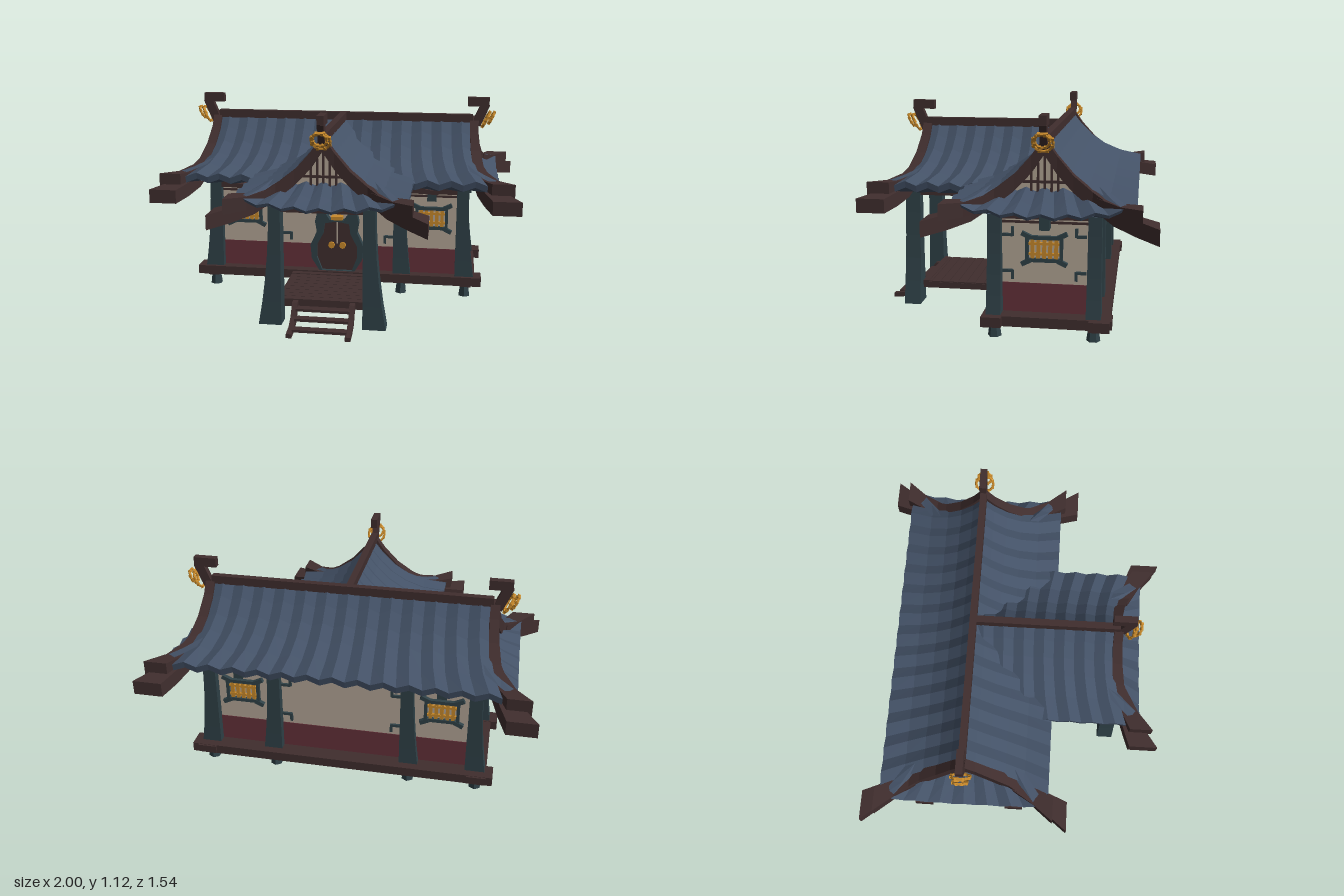
import * as THREE from 'three';

const mat = (name, color, side = THREE.FrontSide) => {
  const m = new THREE.MeshStandardMaterial({ color, flatShading: true, side });
  m.name = name;
  return m;
};
const RIDGE_Z = -0.235;

export function createModel() {
  const root = new THREE.Group();
  root.name = 'pavilion';
  const roof = mat('slate blue tile', 0x435166, THREE.DoubleSide), wood = mat('dark wood', 0x402e2e);
  const cream = mat('cream plaster', 0xb5a797), red = mat('dark red panel', 0x65313a);
  const teal = mat('teal timber', 0x2f4147), gold = mat('gold', 0xc98a2b);

  const add = (parent, name, geo, m, x = 0, y = 0, z = 0) => {
    const mesh = new THREE.Mesh(geo, m);
    mesh.name = name;
    mesh.position.set(x, y, z);
    parent.add(mesh);
    return mesh;
  };
  const box = (parent, name, m, w, h, d, x, y, z) => add(parent, name, new THREE.BoxGeometry(w, h, d), m, x, y, z);
  const group = (parent, name, x = 0, y = 0, z = 0, ry = 0) => {
    const g = new THREE.Group();
    g.name = name;
    g.position.set(x, y, z);
    g.rotation.y = ry;
    parent.add(g);
    return g;
  };
  // Surface through rows of [x, y, z] points
  const patch = (rows) => {
    const p = [];
    for (let i = 0; i < rows.length - 1; i++) for (let j = 0; j < rows[i].length - 1; j++) {
      const a = rows[i][j], b = rows[i][j + 1], c = rows[i + 1][j], d = rows[i + 1][j + 1];
      p.push(...a, ...b, ...c, ...b, ...d, ...c);
    }
    const g = new THREE.BufferGeometry();
    g.setAttribute('position', new THREE.Float32BufferAttribute(p, 3));
    g.computeVertexNormals();
    return g;
  };
  // Box-section beam through stations [sideways, out, top, bottom, half width]
  const beam = (stations, s) => {
    const rows = stations.map(([l, o, t, b, w]) => {
      const r = [[s * l, t, o - w], [s * l, t, o + w], [s * l, b, o + w], [s * l, b, o - w]];
      if (s < 0) r.reverse();
      return [...r, r[0]];
    });
    const cap = ([l, o, t, b]) => Array(5).fill([s * l, (t + b) / 2, o]);
    return patch([cap(stations[0]), ...rows, cap(stations.at(-1))]);
  };
  const plate = (pts, depth, hole) => {
    const shape = new THREE.Shape(pts.map((p) => new THREE.Vector2(...p)));
    if (hole) shape.holes.push(new THREE.Path(hole.map((p) => new THREE.Vector2(...p))));
    return new THREE.ExtrudeGeometry(shape, { depth, bevelEnabled: false });
  };

  // Corrugated roof slopes: curved profile [distance from ridge, height], then the soffit
  const profile = [[0, 1], [0.06, 0.925], [0.13, 0.855], [0.21, 0.8], [0.31, 0.755], [0.435, 0.725]];
  const slope = (n, start, end, s) => {
    const rows = [];
    for (let i = 0; i <= n; i++) {
      const at = (d, y) => {
        const f = (d / 0.435) ** 2, a = start(f), b = end(f);
        return [a + (b - a) * i / n, y, s * d];
      };
      const wave = i % 2 ? 0 : -0.024;
      rows.push([...profile.map(([d, y]) => at(d, y + wave)), at(0.43, 0.69 + wave), at(0.27, 0.64), at(0, 0.64)]);
    }
    return patch(rows);
  };
  const mainRoof = group(root, 'mainRoof', 0, 0, RIDGE_Z);
  const wingRoof = group(root, 'porchRoof', 0, 0, RIDGE_Z, -Math.PI / 2);
  const flare = (l) => (f) => l + 0.09 * f;
  for (const s of [-1, 1]) {
    add(mainRoof, 'mainRoofSlope', slope(26, (f) => -flare(0.735)(f), flare(0.735), s), roof);
    add(wingRoof, 'porchRoofSlope', slope(14, () => 0, flare(0.74), s), roof);
  }
  box(mainRoof, 'mainRidge', wood, 1.48, 0.045, 0.036, 0, 0.995, 0);
  box(wingRoof, 'porchRidge', wood, 0.76, 0.045, 0.036, 0.38, 0.995, 0);

  // Gable end: skirt roof, lattice, barge boards, corner beams, finial and rings
  const gableEnd = (x, z, ry) => {
    const g = group(root, 'gableEnd', x, 0, z, ry);
    const rows = [];
    for (let i = 0; i <= 14; i++) {
      const t = i / 7 - 1, w = i % 2 ? 0 : -0.02, lift = 0.045 * t * t;
      rows.push([[t * 0.3, 0.775 + w, -0.04], [t * 0.37, 0.715 + w + lift * 0.6, 0.05],
        [t * 0.435, 0.675 + w + lift, 0.135], [t * 0.43, 0.66 + w + lift, 0.13], [t * 0.28, 0.64, -0.04], [t * 0.28, 0.64, -0.12]]);
    }
    add(g, 'skirtRoof', patch(rows), roof);
    add(g, 'gablePanel', plate([[-0.17, 0.73], [0.17, 0.73], [0, 0.97]], 0.02), cream, 0, 0, -0.05);
    for (let i = -2; i <= 2; i++) {
      const h = 0.19 - Math.abs(i) * 0.045;
      box(g, 'gableLattice', wood, 0.011, h, 0.01, i * 0.032, 0.74 + h / 2, -0.026);
    }
    box(g, 'gableLatticeRail', wood, 0.22, 0.012, 0.012, 0, 0.795, -0.025);
    for (const s of [-1, 1]) {
      add(g, 'bargeBoard', beam([[0, -0.01, 1.01, 0.93, 0.024], [0.06, -0.01, 0.925, 0.84, 0.024],
        [0.14, 0, 0.835, 0.755, 0.026], [0.23, 0.015, 0.765, 0.685, 0.03], [0.33, 0.055, 0.705, 0.62, 0.04],
        [0.43, 0.105, 0.665, 0.59, 0.055], [0.535, 0.165, 0.645, 0.57, 0.075]], s), wood);
      add(g, 'upperCornerBeam', beam([[0.25, 0.025, 0.74, 0.67, 0.035], [0.36, 0.08, 0.715, 0.645, 0.045],
        [0.46, 0.145, 0.72, 0.64, 0.06]], s), wood);
    }
    box(g, 'finialCap', wood, 0.036, 0.05, 0.12, 0, 1.09, 0.01);
    box(g, 'finialStem', wood, 0.034, 0.13, 0.05, 0, 1.02, 0.025).rotation.x = 0.4;
    [[0.048, 0.99, 0.055], [0.036, 1.0, 0.085]].forEach(([r, y, out]) => {
      const ring = group(g, 'goldRing', 0, y, out);
      ring.rotation.x = 0.45;
      add(ring, 'ringBand', new THREE.TorusGeometry(r, 0.007, 5, 14), gold);
      for (let k = 0; k < 8; k++) {
        const a = k * Math.PI / 4 + 0.39;
        box(ring, 'ringStud', gold, 0.014, 0.014, 0.014, Math.cos(a) * r, Math.sin(a) * r, 0);
      }
    });
  };
  gableEnd(0, 0.53, 0);
  gableEnd(0.76, RIDGE_Z, Math.PI / 2);
  gableEnd(-0.76, RIDGE_Z, -Math.PI / 2);

  // Walls: red dado below cream plaster
  const body = group(root, 'body');
  box(body, 'plasterWalls', cream, 1.38, 0.36, 0.47, 0, 0.46, -0.23);
  box(body, 'redDado', red, 1.386, 0.15, 0.476, 0, 0.21, -0.23);
  box(body, 'wallRail', wood, 1.39, 0.012, 0.48, 0, 0.59, -0.23);
  box(body, 'wallTopBeam', wood, 1.44, 0.035, 0.54, 0, 0.627, -0.23);
  box(body, 'floorUnderside', red, 1.44, 0.035, 0.5, 0, 0.115, -0.24);

  // Base frame of crossing beams
  for (const z of [0.015, -0.505]) box(body, 'baseBeam', wood, 1.63, 0.05, 0.1, 0, 0.115, z);
  for (const x of [-0.73, 0.73]) {
    box(body, 'baseSideBeam', wood, 0.1, 0.042, 0.63, x, 0.117, -0.25);
    box(body, 'baseSideSleeper', wood, 0.06, 0.03, 0.58, x, 0.095, -0.24);
  }

  // Pillars flare outward toward the foot
  const pillar = (x, z, w, d, y0, y1, spread) => {
    const geo = new THREE.BoxGeometry(w, y1 - y0, d, 1, 5, 1), p = geo.attributes.position, s = Math.sign(x);
    for (let i = 0; i < p.count; i++) {
      const f = 0.5 - p.getY(i) / (y1 - y0);
      if (p.getX(i) * s > 0) p.setX(i, p.getX(i) + s * spread * f * f);
      p.setZ(i, p.getZ(i) * (1 + 0.12 * f * f));
    }
    geo.computeVertexNormals();
    add(body, 'pillar', geo, teal, x, (y0 + y1) / 2, z);
  };
  for (const s of [-1, 1]) {
    for (const z of [0.01, -0.475]) {
      pillar(s * 0.7, z, 0.065, 0.065, 0.13, 0.64, 0.04);
      pillar(s * 0.352, z, 0.065, 0.065, 0.13, 0.64, 0.035);
      for (const x of [0.725, 0.365]) {
        add(body, 'stiltFoot', new THREE.CylinderGeometry(0.024, 0.034, 0.075, 6), teal, s * x, 0.0575, z);
      }
      const out = z > 0 ? 0.03 : -0.03;
      box(body, 'eaveBracket', teal, 0.05, 0.05, 0.06, s * 0.53, 0.6, z + out);
      box(body, 'eaveBracketCap', wood, 0.07, 0.025, 0.09, s * 0.53, 0.63, z + out);
    }
    pillar(s * 0.24, 0.543, 0.06, 0.08, 0.02, 0.65, 0.06);
    box(body, 'sideEaveBracket', teal, 0.06, 0.075, 0.05, s * 0.72, 0.6, RIDGE_Z);
    box(body, 'porchSideBeam', wood, 0.05, 0.03, 0.56, s * 0.24, 0.635, 0.28);
  }
  box(body, 'porchFrontBeam', wood, 0.5, 0.03, 0.05, 0, 0.635, 0.54);

  // Latticed window facing local +z
  const windowAt = (x, y, z, ry) => {
    const g = group(body, 'window', x, y, z, ry);
    for (let i = -2; i <= 2; i++) box(g, 'windowBar', gold, 0.018, 0.125, 0.012, i * 0.029, 0, 0.008);
    for (const s of [-1, 1]) {
      box(g, 'windowCrossBar', gold, 0.15, 0.012, 0.014, 0, s * 0.026, 0.008);
      box(g, 'windowRail', teal, 0.15, 0.018, 0.02, 0, s * 0.056, 0.01);
      box(g, 'windowPost', teal, 0.016, 0.12, 0.02, s * 0.083, 0, 0.01);
      for (const t of [-1, 1]) {
        box(g, 'windowEar', teal, 0.05, 0.022, 0.022, s * 0.088, t * 0.067, 0.011).rotation.z = s * t * 0.45;
      }
    }
  };
  // Corner brackets framing a plaster panel
  const brackets = (x, z, ry, half) => {
    const g = group(body, 'panelBrackets', x, 0.435, z, ry);
    for (const s of [-1, 1]) for (const t of [-1, 1]) {
      box(g, 'bracketRail', teal, 0.05, 0.014, 0.012, s * (half - 0.025), t * 0.09, 0.006);
      box(g, 'bracketDrop', teal, 0.014, 0.045, 0.012, s * (half - 0.05), t * 0.108, 0.006);
    }
  };
  for (const s of [-1, 1]) {
    windowAt(s * 0.53, 0.465, 0.005, 0);
    windowAt(s * 0.53, 0.465, -0.465, Math.PI);
    windowAt(s * 0.69, 0.46, -0.23, s * Math.PI / 2);
    brackets(s * 0.69, -0.23, s * Math.PI / 2, 0.205);
  }
  brackets(0, 0.005, 0, 0.32);
  brackets(0, -0.465, Math.PI, 0.32);

  // Double door in a curved frame
  const mirror = (half) => [...half, ...half.map(([x, y]) => [-x, y]).reverse()];
  const outer = mirror([[0.1, 0.138], [0.145, 0.21], [0.152, 0.29], [0.115, 0.37], [0.125, 0.43], [0.11, 0.495], [0.07, 0.485], [0.04, 0.44]]);
  const inner = mirror([[0.085, 0.142], [0.115, 0.22], [0.115, 0.29], [0.078, 0.36], [0.07, 0.42], [0.02, 0.43]]);
  add(body, 'doorFrame', plate(outer, 0.045, inner), teal, 0, 0, 0.005);
  add(body, 'doorLeaves', plate(inner, 0.025), wood, 0, 0, 0.005);
  box(body, 'doorSeam', cream, 0.008, 0.13, 0.006, 0, 0.365, 0.031);
  box(body, 'doorCrest', gold, 0.065, 0.02, 0.05, 0, 0.452, 0.03);
  for (const s of [-1, 1]) {
    add(body, 'doorKnob', new THREE.CylinderGeometry(0.019, 0.019, 0.016, 8).rotateX(Math.PI / 2), gold, s * 0.032, 0.29, 0.036);
  }

  // Porch deck and stairs
  const porch = group(root, 'porch');
  for (let i = 0; i < 9; i++) box(porch, 'deckPlank', wood, 0.5, 0.02, 0.046, 0, 0.122, 0.085 + i * 0.049);
  for (const x of [-0.23, 0, 0.23]) box(porch, 'deckJoist', wood, 0.045, 0.032, 0.46, x, 0.11, 0.27);
  for (const z of [0.09, 0.485]) box(porch, 'deckEdge', wood, 0.5, 0.042, 0.035, 0, 0.114, z);
  const rail = [[0.49, 0.13], [0.53, 0.125], [0.575, 0.065], [0.63, 0.032], [0.7, 0.022], [0.7, 0], [0.63, 0.005], [0.56, 0.03], [0.52, 0.085], [0.49, 0.095]];
  const railGeo = plate(rail, 0.028).rotateY(-Math.PI / 2);
  for (const s of [-1, 1]) add(porch, 'stairRail', railGeo, wood, s * 0.15 + 0.014, 0, 0);
  [[0.028, 0.65], [0.058, 0.58], [0.095, 0.535]].forEach(([y, z]) => box(porch, 'stairTread', wood, 0.28, 0.014, 0.045, 0, y, z));
  return root;
}
